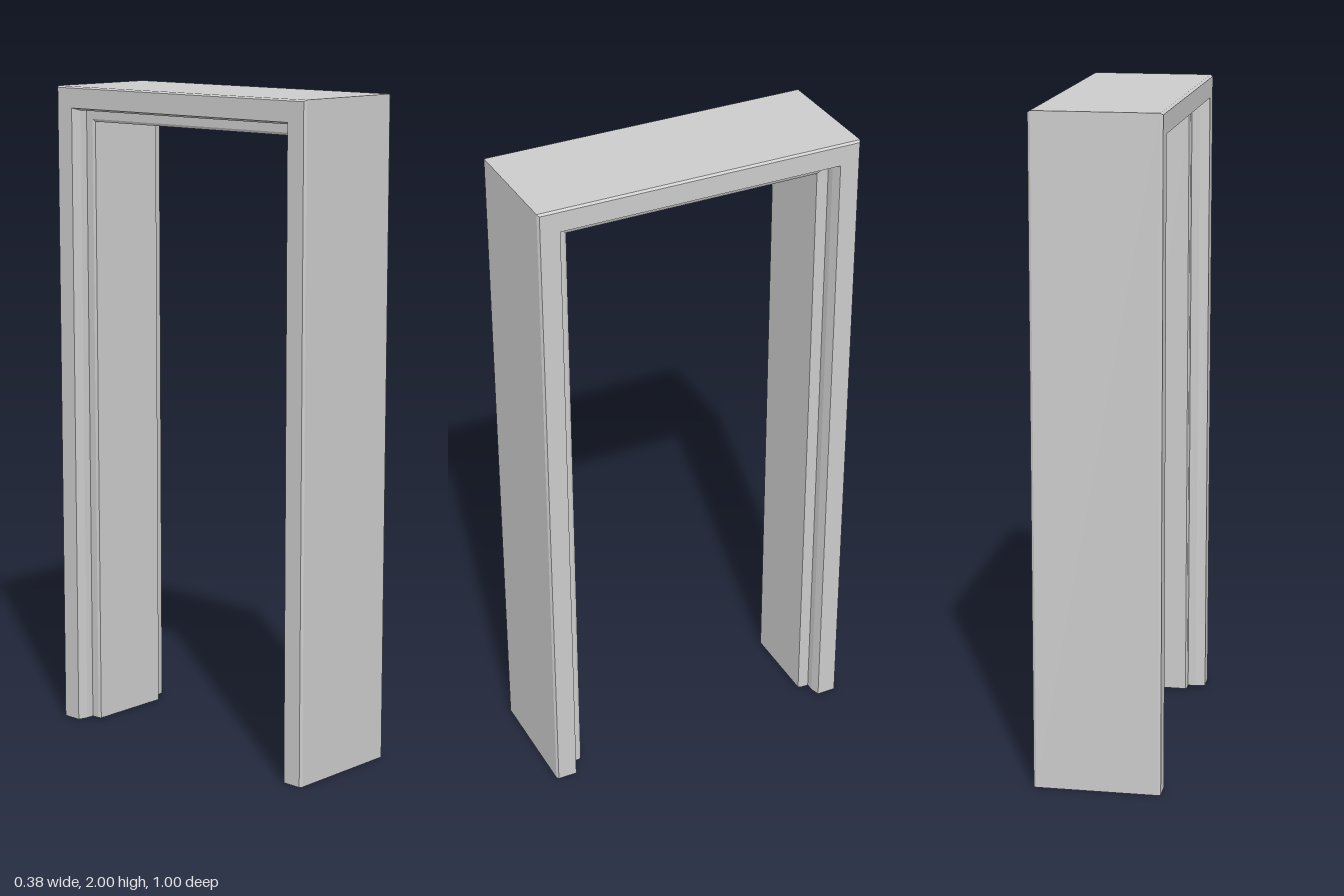
import * as THREE from 'three';

// Half of the frame profile: [x across the wall depth, inset from the outer edge]
const HALF = [
  [0.182, 0], [0.19, 0.005],                 // outer bevel
  [0.19, 0.065], [0.16, 0.073],              // casing face and its sloped inner lip
  [0.135, 0.073], [0.135, 0.099], [0.131, 0.107], // rebate and door stop
];
// Full closed profile, mirrored across the wall depth
const PROFILE = [...HALF, ...HALF.map(([x, d]) => [-x, d]).reverse()];

// Stations along the path: jamb foot, two mitred top corners, other jamb foot
const STATIONS = [
  ([x, d]) => [x, 0, 0.5 - d],
  ([x, d]) => [x, 2 - d, 0.5 - d],
  ([x, d]) => [x, 2 - d, -0.5 + d],
  ([x, d]) => [x, 0, -0.5 + d],
];

// One straight length of the frame between stations i and i + 1
function frameLength(name, i, material) {
  const from = STATIONS[i], to = STATIONS[i + 1];
  const pos = [];
  PROFILE.forEach((p, j) => {
    const q = PROFILE[(j + 1) % PROFILE.length];
    const a = from(p), b = from(q), c = to(q), d = to(p);
    pos.push(...a, ...b, ...c, ...a, ...c, ...d);
  });
  // Close the foot of each jamb
  if (i !== 1) {
    const foot = i === 0 ? from : to;
    const outline = PROFILE.map(([x, d]) => new THREE.Vector2(x, d));
    for (const tri of THREE.ShapeUtils.triangulateShape(outline, [])) {
      const order = i === 0 ? [...tri].reverse() : tri;
      for (const k of order) pos.push(...foot(PROFILE[k]));
    }
  }
  const geo = new THREE.BufferGeometry();
  geo.setAttribute('position', new THREE.Float32BufferAttribute(pos, 3));
  geo.computeVertexNormals();
  const mesh = new THREE.Mesh(geo, material);
  mesh.name = name;
  return mesh;
}

export function createModel() {
  const group = new THREE.Group();
  group.name = 'doorFrame';
  const material = new THREE.MeshStandardMaterial({ color: 0xcccccc, flatShading: true });
  ['frontJamb', 'head', 'backJamb'].forEach((name, i) => group.add(frameLength(name, i, material)));
  return group;
}
